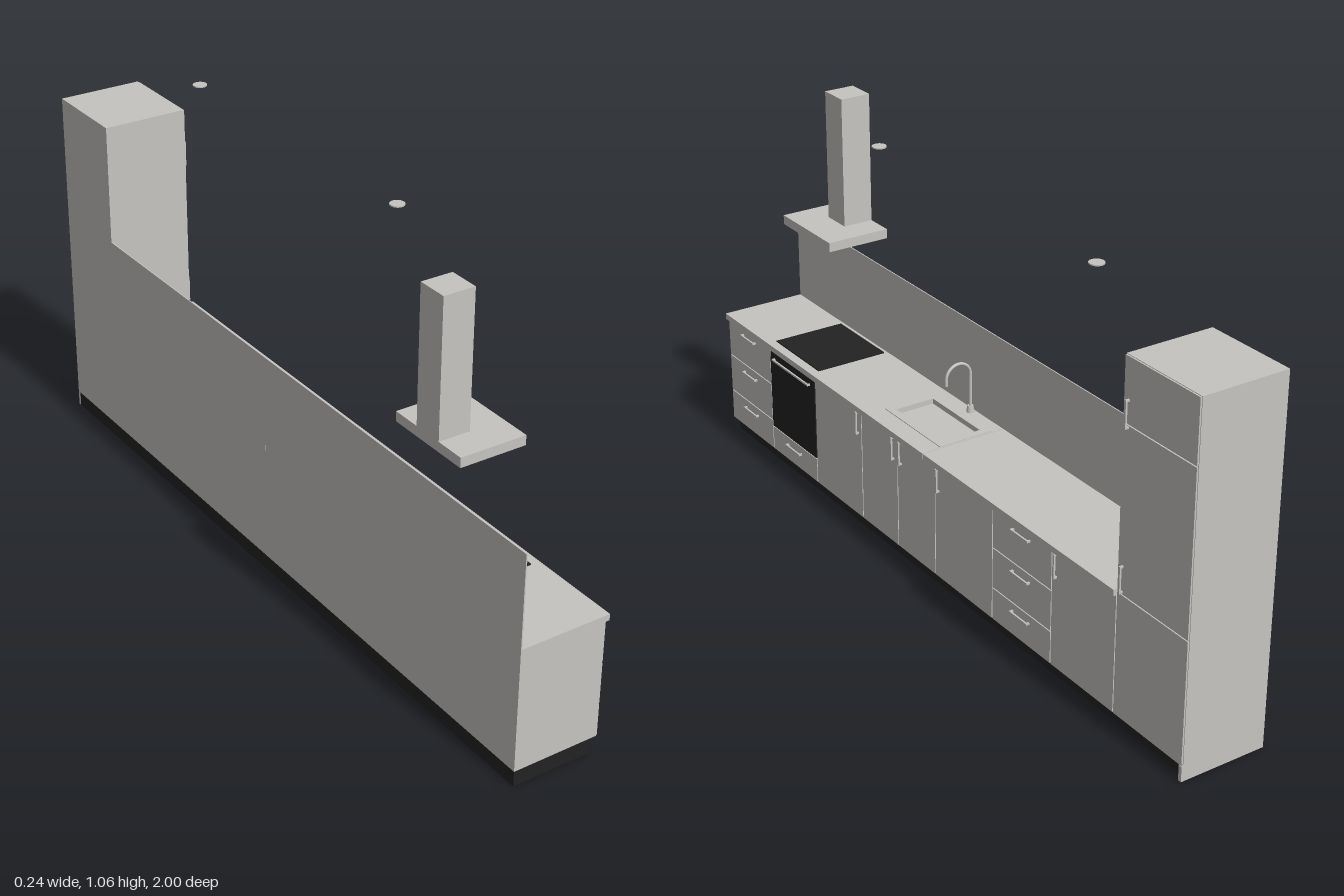
import * as THREE from 'three';

export function createModel() {
  const grey = new THREE.MeshStandardMaterial({ color: 0xc6c4c1 });
  grey.name = 'lightGrey';
  const black = new THREE.MeshStandardMaterial({ color: 0x222222 });
  black.name = 'black';
  const kitchen = new THREE.Group();
  kitchen.name = 'kitchen';

  function add(name, geometry, material = grey) {
    const mesh = new THREE.Mesh(geometry, material);
    mesh.name = name;
    kitchen.add(mesh);
    return mesh;
  }
  // Box given by its limits on each axis
  function box(name, [x0, x1], [y0, y1], [z0, z1], material) {
    const g = new THREE.BoxGeometry(x1 - x0, y1 - y0, z1 - z0);
    g.translate((x0 + x1) / 2, (y0 + y1) / 2, (z0 + z1) / 2);
    return add(name, g, material);
  }

  const BACK = -0.122, FRONT = 0.109, CARCASS = 0.105, SPLIT = -0.757;

  // Plinth, carcasses and the end panel reaching the floor
  box('plinth', [BACK, 0.09], [0, 0.04], [-0.99, 1], black);
  box('baseCabinets', [BACK, CARCASS], [0.04, 0.345], [SPLIT, 1]);
  box('tallCabinet', [BACK, CARCASS], [0.04, 0.922], [-1, SPLIT]);
  box('endPanel', [BACK, FRONT], [0, 0.04], [-1, -0.99]);
  box('splashback', [BACK, BACK + 0.003], [0.36, 0.6], [SPLIT, 1]);

  // Doors and drawer fronts, separated by narrow gaps
  const gap = 0.0015;
  const front = (name, y0, y1, z0, z1) =>
    box(name, [CARCASS, FRONT], [y0 + gap, y1 - gap], [z0 + gap, z1 - gap]);

  // Bar handles with two posts
  function handle(y, z, length, upright) {
    const h = length / 2, t = 0.0025;
    const a = upright ? h : t, b = upright ? t : h;
    box('handleBar', [0.1145, 0.119], [y - a, y + a], [z - b, z + b]);
    for (const s of [-1, 1]) {
      const py = y + (upright ? s * (h - t) : 0);
      const pz = z + (upright ? 0 : s * (h - t));
      box('handlePost', [FRONT, 0.1145], [py - t, py + t], [pz - t, pz + t]);
    }
  }

  for (const [z0, z1, hz] of [
    [0.3, 0.532, 0.315], [0.13, 0.3, 0.147], [-0.04, 0.13, 0.113],
    [-0.285, -0.04, -0.056], [SPLIT, -0.52, -0.538],
  ]) {
    front('door', 0.04, 0.345, z0, z1);
    handle(0.311, hz, 0.064, true);
  }
  for (const [z0, z1] of [[0.768, 1], [-0.52, -0.285]]) {
    const levels = [0.04, 0.127, 0.236, 0.345];
    [0.105, 0.214, 0.325].forEach((y, i) => {
      front('drawer', levels[i], levels[i + 1], z0, z1);
      handle(y, (z0 + z1) / 2, 0.07, false);
    });
  }
  [0.04, 0.355, 0.765, 0.922].forEach((y, i, levels) => {
    if (i < 3) front('tallDoor', y, levels[i + 1], -1, SPLIT);
  });
  for (const y of [0.394, 0.791]) handle(y, -0.775, 0.068, true);

  // Oven with a drawer below
  front('ovenDrawer', 0.04, 0.11, 0.532, 0.768);
  handle(0.088, 0.65, 0.074, false);
  box('oven', [CARCASS, FRONT + 0.001], [0.112, 0.343], [0.534, 0.766], black);
  handle(0.32, 0.65, 0.19, false);

  // Worktop in two lengths, the front one cut out for the sink
  const rect = (Type, x0, x1, z0, z1) => new Type([
    [x0, -z0], [x0, -z1], [x1, -z1], [x1, -z0],
  ].map(([x, y]) => new THREE.Vector2(x, y)));
  function slab(name, outer, hole, y0, y1) {
    const shape = rect(THREE.Shape, ...outer);
    if (hole) shape.holes.push(rect(THREE.Path, ...hole));
    const g = new THREE.ExtrudeGeometry(shape, { depth: y1 - y0, bevelEnabled: false });
    g.rotateX(-Math.PI / 2).translate(0, y0, 0);
    return add(name, g);
  }
  const basin = [-0.065, 0.045, 0.025, 0.235];
  slab('worktop', [BACK, 0.118, 0.001, 1], basin, 0.345, 0.361);
  slab('worktop', [BACK, 0.118, SPLIT, -0.001], null, 0.345, 0.361);
  slab('sinkRim', [-0.085, 0.065, 0.005, 0.255], basin, 0.361, 0.363);
  slab('sinkFloor', basin, null, 0.345, 0.349);
  box('cooktop', [-0.108, 0.093], [0.361, 0.364], [0.538, 0.76], black);

  // Swan-neck tap
  const base = add('tapBase', new THREE.CylinderGeometry(0.008, 0.01, 0.018, 20));
  base.position.set(-0.105, 0.37, 0.125);
  const path = new THREE.CurvePath();
  const v = (x, y) => new THREE.Vector3(x, y, 0.125);
  const arc = [];
  for (let i = 0; i <= 12; i++) {
    const a = Math.PI * (1 - i / 12);
    arc.push(v(-0.069 + 0.036 * Math.cos(a), 0.466 + 0.036 * Math.sin(a)));
  }
  path.add(new THREE.LineCurve3(v(-0.105, 0.37), arc[0]));
  path.add(new THREE.CatmullRomCurve3(arc));
  path.add(new THREE.LineCurve3(arc[12], v(-0.033, 0.452)));
  add('tapSpout', new THREE.TubeGeometry(path, 60, 0.004, 12));
  const tip = add('tapOutlet', new THREE.CylinderGeometry(0.004, 0.004, 0.002, 12));
  tip.position.set(-0.033, 0.452, 0.125);

  // Extractor hood
  box('hoodCanopy', [BACK, 0.051], [0.687, 0.712], [0.536, 0.77]);
  box('hoodChimney', [BACK, -0.04], [0.712, 1.056], [0.612, 0.692]);

  // Ceiling lights
  for (const z of [-0.592, 0.267]) {
    const lamp = add('ceilingLight', new THREE.CylinderGeometry(0.018, 0.018, 0.003, 32));
    lamp.position.set(0.062, 1.0545, z);
  }
  return kitchen;
}
